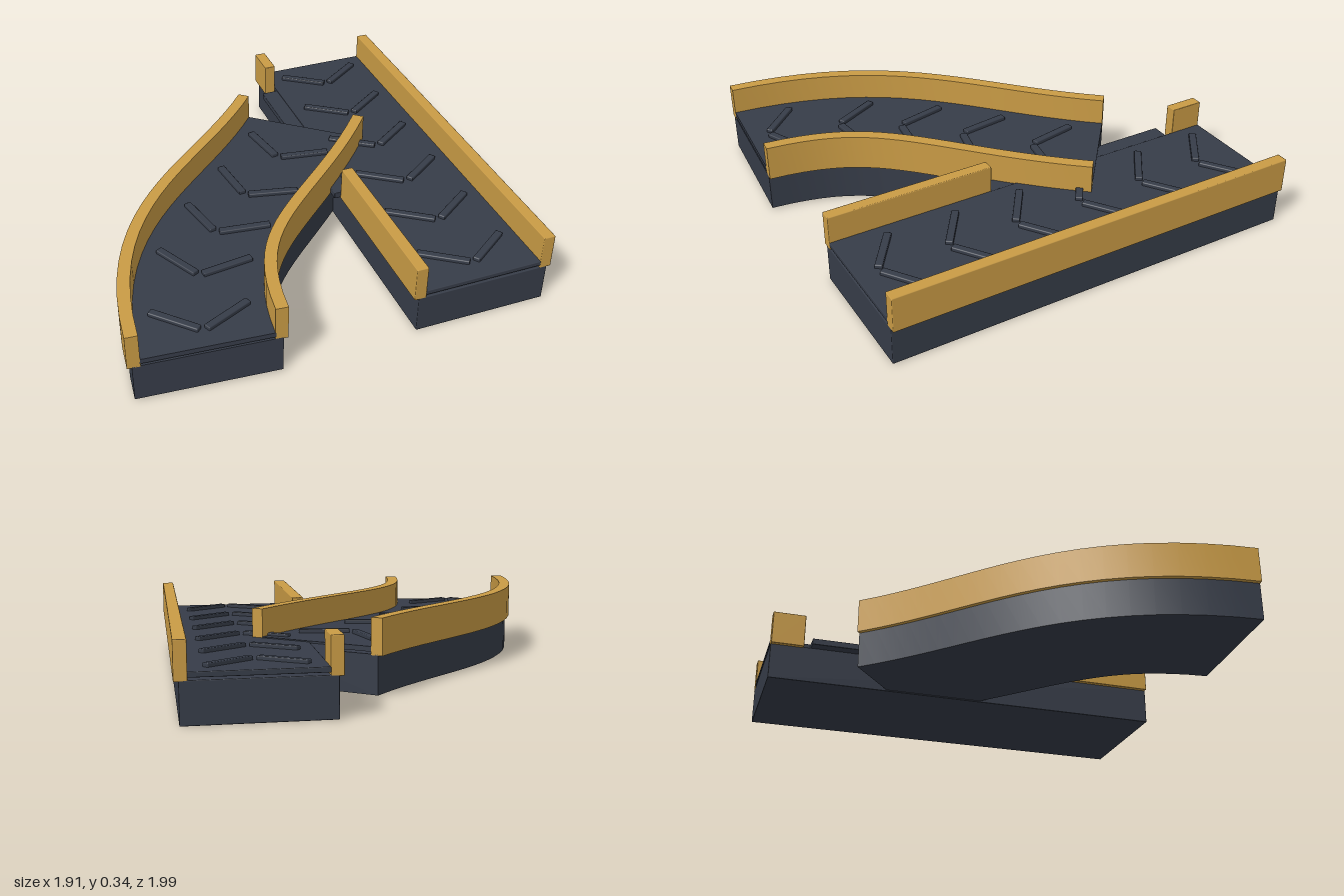
import * as THREE from 'three';
import { toCreasedNormals } from 'three/addons/utils/BufferGeometryUtils.js';
import { RoundedBoxGeometry } from 'three/addons/geometries/RoundedBoxGeometry.js';

const dark = new THREE.MeshStandardMaterial({ color: 0x363c48 });
dark.name = 'dark rubber';
const gold = new THREE.MeshStandardMaterial({ color: 0xc99b45 });
gold.name = 'golden rail';

// Centre line of the curved conveyor, drawn in plan (x, z)
const path = new THREE.CubicBezierCurve(
  new THREE.Vector2(-0.627, 0.967), new THREE.Vector2(-0.566, 0.229),
  new THREE.Vector2(-0.124, 0.126), new THREE.Vector2(0.32, -0.415));

// Rectangular section swept along the path, from offset a to b, height y0 to y1
function sweep(a, b, y0, y1, steps = 20) {
  const pos = [], idx = [];
  for (let i = 0; i <= steps; i++) {
    const p = path.getPoint(i / steps), t = path.getTangent(i / steps);
    for (const [o, y] of [[a, y0], [b, y0], [b, y1], [a, y1]])
      pos.push(p.x - t.y * o, y, p.y + t.x * o);
  }
  for (let i = 0; i < steps; i++) {
    for (let c = 0; c < 4; c++) {
      const j = i * 4 + c, k = i * 4 + (c + 1) % 4;
      idx.push(j, j + 4, k, k, j + 4, k + 4);
    }
  }
  const e = steps * 4;
  idx.push(0, 1, 2, 0, 2, 3, e, e + 2, e + 1, e, e + 3, e + 2);
  const g = new THREE.BufferGeometry();
  g.setAttribute('position', new THREE.Float32BufferAttribute(pos, 3));
  g.setIndex(idx);
  return toCreasedNormals(g, 0.5);
}

function add(parent, name, geometry, material) {
  const mesh = new THREE.Mesh(geometry, material);
  mesh.name = name;
  parent.add(mesh);
  return mesh;
}

// Softly edged box given by its limits
function block(parent, name, material, x0, x1, y0, y1, z0, z1) {
  const g = new RoundedBoxGeometry(x1 - x0, y1 - y0, z1 - z0, 1, 0.004);
  add(parent, name, g, material).position.set((x0 + x1) / 2, (y0 + y1) / 2, (z0 + z1) / 2);
}

// V-shaped tread made of two slanted bars
function chevron(parent, x, y, z, turn) {
  const v = new THREE.Group();
  v.name = 'chevronTread';
  for (const s of [-1, 1]) {
    const bar = add(v, 'treadBar', new RoundedBoxGeometry(0.235, 0.022, 0.034, 1, 0.005), dark);
    bar.position.x = s * 0.111;
    bar.rotation.y = s * 0.61;
  }
  v.position.set(x, y, z);
  v.rotation.y = turn;
  parent.add(v);
}

export function createModel() {
  const model = new THREE.Group();
  model.name = 'mergingConveyor';

  // Straight conveyor
  const straight = new THREE.Group();
  straight.name = 'straightConveyor';
  block(straight, 'straightBase', dark, 0.31, 0.935, 0, 0.18, -1, 0.97);
  block(straight, 'straightBelt', dark, 0.342, 0.903, 0.19, 0.213, -1, 0.97);
  block(straight, 'outerRail', gold, 0.9, 0.955, 0.175, 0.34, -1, 0.97);
  block(straight, 'innerRailFront', gold, 0.29, 0.345, 0.175, 0.34, 0.18, 0.97);
  block(straight, 'innerRailBack', gold, 0.29, 0.345, 0.175, 0.34, -1, -0.84);
  block(straight, 'mergePlate', dark, 0.26, 0.362, 0.178, 0.209, -0.805, 0.18);
  for (let i = 0; i < 6; i++) chevron(straight, 0.622, 0.219, -0.841 + i * 0.328, 0);
  model.add(straight);

  // Curved feeder
  const curved = new THREE.Group();
  curved.name = 'curvedConveyor';
  add(curved, 'curvedBase', sweep(-0.313, 0.313, 0.006, 0.185), dark);
  add(curved, 'curvedBelt', sweep(-0.282, 0.282, 0.195, 0.218), dark);
  add(curved, 'curvedOuterRail', sweep(-0.333, -0.278, 0.18, 0.345), gold);
  add(curved, 'curvedInnerRail', sweep(0.278, 0.333, 0.18, 0.345), gold);
  for (let i = 0; i < 5; i++) {
    const t = 0.08 + i * 0.2, p = path.getPoint(t), d = path.getTangent(t);
    chevron(curved, p.x, 0.224, p.y, Math.atan2(-d.x, -d.y));
  }
  model.add(curved);
  return model;
}
